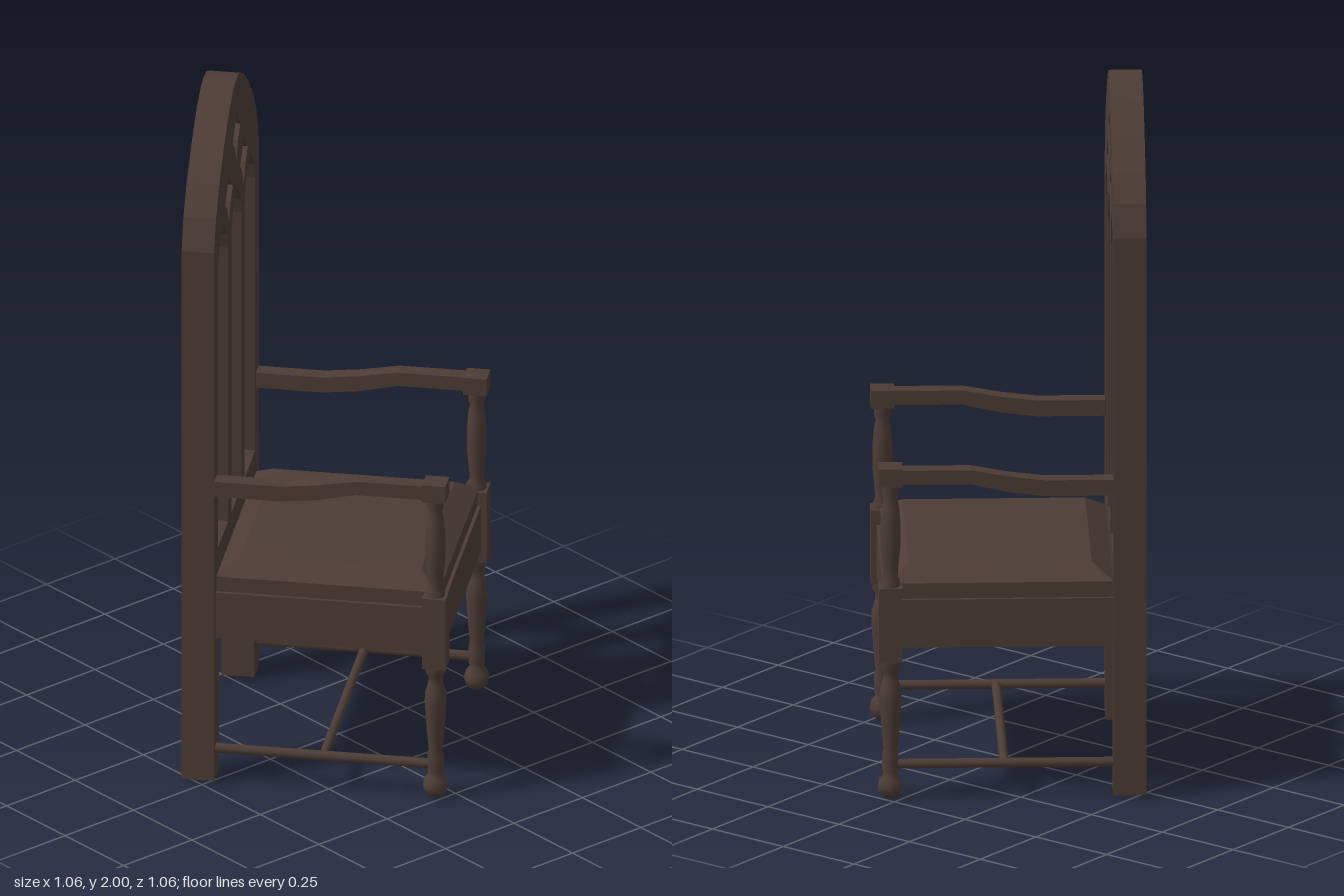
import * as THREE from 'three';

export function createModel() {
  const wood = new THREE.MeshStandardMaterial({ color: 0x4d3c35 });
  wood.name = 'darkWood';
  const chair = new THREE.Group();
  chair.name = 'chair';

  const add = (name, geometry, x = 0, y = 0, z = 0) => {
    const mesh = new THREE.Mesh(geometry, wood);
    mesh.name = name;
    mesh.position.set(x, y, z);
    chair.add(mesh);
    return mesh;
  };
  // Box given by its limits on each axis
  const block = (name, x0, x1, y0, y1, z0, z1) =>
    add(name, new THREE.BoxGeometry(x1 - x0, y1 - y0, z1 - z0), (x0 + x1) / 2, (y0 + y1) / 2, (z0 + z1) / 2);
  const turned = (name, profile, x, z) =>
    add(name, new THREE.LatheGeometry(profile.map(([r, y]) => new THREE.Vector2(r, y)), 16), x, 0, z);
  const pts = (list) => list.map(([x, y]) => new THREE.Vector2(x, y));
  // Right half of an outline, mirrored to a closed loop
  const mirrored = (half) => [...half, ...half.filter(([x]) => x > 0).reverse().map(([x, y]) => [-x, y])];

  // Arched back panel with its legs in one piece
  const backShape = new THREE.Shape(pts(mirrored([
    [0.296, 0.56], [0.296, 0.01], [0.376, 0.01], [0.376, 1.64], [0.345, 1.73], [0.29, 1.81],
    [0.21, 1.89], [0.12, 1.96], [0.045, 1.995], [0, 2],
  ])));
  const cut = (loop, cx, cy) =>
    backShape.holes.push(new THREE.Path(pts(loop.map(([x, y]) => [x + cx, y + cy]))));

  // Three lancet openings
  const lancet = mirrored([
    [0.088, 0.7], [0.088, 1.545], [0.077, 1.59], [0.045, 1.63], [0, 1.66],
  ]);
  for (const x of [-0.227, 0, 0.227]) cut(lancet, x, 0);

  // Three four-pointed tracery openings
  const star = [[0, 0.085], [0.027, 0.033], [0.066, 0], [0.027, -0.033],
    [0, -0.085], [-0.027, -0.033], [-0.066, 0], [-0.027, 0.033]];
  cut(star, 0, 1.83);
  cut(star, -0.125, 1.7);
  cut(star, 0.125, 1.7);

  const back = new THREE.ExtrudeGeometry(backShape, { depth: 0.092, bevelEnabled: false });
  add('tracedBack', back, 0, 0, -0.38);

  // Seat frame and bevelled cushion
  block('seatFrame', -0.35, 0.35, 0.44, 0.58, -0.31, 0.348);
  block('cushionBase', -0.34, 0.34, 0.58, 0.625, -0.29, 0.338);
  const top = new THREE.BoxGeometry(0.68, 0.04, 0.628);
  const p = top.attributes.position;
  for (let i = 0; i < p.count; i++) {
    if (p.getY(i) > 0) p.setXYZ(i, p.getX(i) * 0.83, p.getY(i), p.getZ(i) * 0.81);
  }
  top.computeVertexNormals();
  add('cushionTop', top, 0, 0.645, 0.024);

  const legProfile = [
    [0, 0], [0.018, 0.004], [0.031, 0.018], [0.036, 0.036], [0.031, 0.056], [0.02, 0.07],
    [0.023, 0.085], [0.023, 0.13], [0.019, 0.145], [0.024, 0.19], [0.031, 0.29],
    [0.03, 0.32], [0.021, 0.35], [0.02, 0.37], [0.029, 0.385], [0.029, 0.41],
  ];
  const postProfile = [
    [0.027, 0.615], [0.027, 0.635], [0.02, 0.65], [0.023, 0.69], [0.028, 0.74], [0.028, 0.8],
    [0.024, 0.85], [0.019, 0.88], [0.024, 0.895], [0.024, 0.925],
  ];

  // Side profile of the arm, drawn as (z, y)
  const armShape = new THREE.Shape(pts([
    [-0.3, 0.888], [-0.1, 0.888], [0, 0.9], [0.11, 0.925], [0.32, 0.925],
    [0.32, 0.966], [0.11, 0.966], [0, 0.946], [-0.1, 0.934], [-0.3, 0.934],
  ]));

  for (const [side, s] of [['left', 1], ['right', -1]]) {
    const x = 0.347 * s;
    turned(side + 'FrontLeg', legProfile, x, 0.331);
    block(side + 'LegBlock', x - 0.033, x + 0.033, 0.405, 0.622, 0.298, 0.364);
    turned(side + 'ArmPost', postProfile, x, 0.331);
    block(side + 'ArmEnd', x - 0.033, x + 0.033, 0.92, 0.972, 0.298, 0.364);

    const arm = new THREE.ExtrudeGeometry(armShape, { depth: 0.046, bevelEnabled: false });
    arm.rotateY(-Math.PI / 2);
    add(side + 'Arm', arm, 0.352 * s + 0.023);

    // Side stretcher from front leg to back leg
    const rail = new THREE.CylinderGeometry(0.014, 0.014, 0.63, 10);
    rail.rotateX(Math.PI / 2);
    add(side + 'Stretcher', rail, x, 0.1, 0.015);
  }

  // Cross stretcher joining the two side stretchers
  const cross = new THREE.CylinderGeometry(0.013, 0.013, 0.694, 10);
  cross.rotateZ(Math.PI / 2);
  add('crossStretcher', cross, 0, 0.1, 0.015);

  // The chair stands turned toward its left
  chair.rotation.y = THREE.MathUtils.degToRad(40);
  const model = new THREE.Group();
  model.name = 'archedArmchair';
  model.add(chair);
  return model;
}
